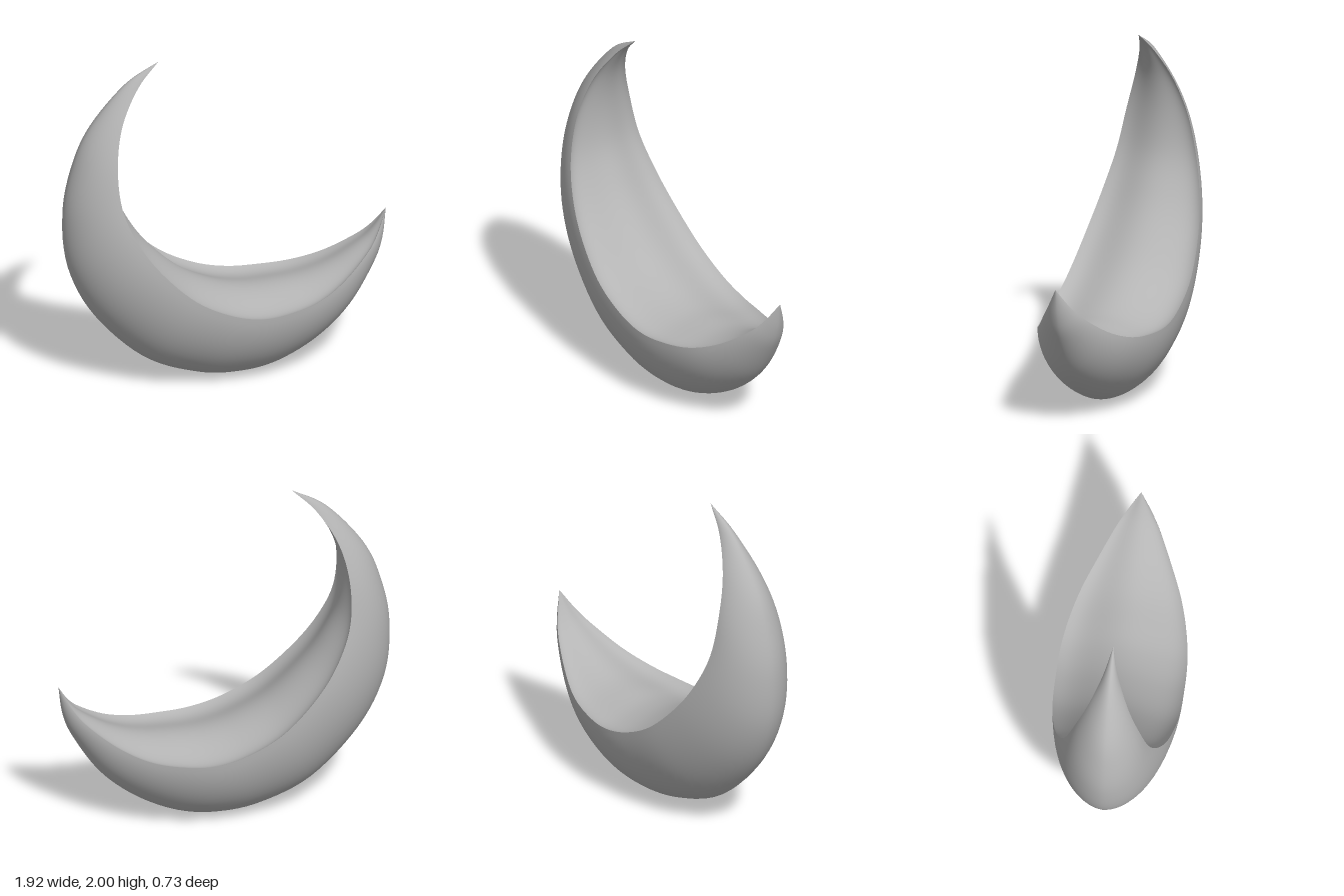
import * as THREE from 'three';

// stations from tall horn to short horn: keel x, keel y, rim x, rim y, half width
const STATIONS = [
  [-0.395, 2, -0.395, 2, 0],
  [-0.6, 1.875, -0.53, 1.87, 0.045],
  [-0.81, 1.62, -0.645, 1.68, 0.115],
  [-0.91, 1.38, -0.695, 1.46, 0.185],
  [-0.96, 1.1, -0.685, 1.22, 0.24],
  [-0.93, 0.77, -0.605, 1.01, 0.29],
  [-0.78, 0.46, -0.475, 0.82, 0.33],
  [-0.5, 0.17, -0.28, 0.63, 0.36],
  [-0.2, 0.035, -0.07, 0.515, 0.367],
  [0.05, 0.003, 0.12, 0.465, 0.362],
  [0.28, 0.035, 0.3, 0.465, 0.335],
  [0.52, 0.15, 0.48, 0.492, 0.285],
  [0.72, 0.32, 0.65, 0.562, 0.21],
  [0.87, 0.55, 0.81, 0.675, 0.125],
  [0.93, 0.7, 0.89, 0.765, 0.065],
  [0.955, 0.88, 0.955, 0.88, 0],
];
const keel = new THREE.CatmullRomCurve3(
  STATIONS.map(([x, y]) => new THREE.Vector3(x, y, 0)), false, 'catmullrom', 0.5);
const rim = new THREE.CatmullRomCurve3(
  STATIONS.map(([, , x, y, w]) => new THREE.Vector3(x, y, w)), false, 'catmullrom', 0.5);

const STEPS = 90, ARC = 32, ROUNDNESS = 1.8;

// sections run from the front rim to the back rim as
// [fraction of half width, fraction of depth towards the keel]
const section = (point) => Array.from({ length: ARC + 1 }, (_, j) => point((Math.PI * j) / ARC));

// slightly pointed half ellipse
const HULL = section((a) => {
  const c = Math.cos(a), power = 2 / ROUNDNESS;
  return [Math.sign(c) * Math.abs(c) ** power, Math.max(0, Math.sin(a)) ** power];
});

// shallow dip beside each rim, gentle swell along the middle
const INNER = section((a) => {
  const s = Math.cos(a), q = s * s;
  return [s, (1 - q) * (0.3 * q - 0.09)];
});

// sweep a section along the rim and keel
function sweep(points, facesOut) {
  const positions = [], index = [], n = points.length;
  for (let i = 0; i <= STEPS; i++) {
    const k = keel.getPoint(i / STEPS), r = rim.getPoint(i / STEPS);
    for (const [s, d] of points) {
      positions.push(r.x + (k.x - r.x) * d, r.y + (k.y - r.y) * d, r.z * s);
    }
  }
  for (let i = 0; i < STEPS; i++) {
    for (let j = 0; j < n - 1; j++) {
      const a = i * n + j, b = a + 1, c = a + n, e = c + 1;
      if (facesOut) index.push(a, b, c, b, e, c);
      else index.push(a, c, b, b, c, e);
    }
  }
  const geometry = new THREE.BufferGeometry();
  geometry.setAttribute('position', new THREE.Float32BufferAttribute(positions, 3));
  geometry.setIndex(index);
  geometry.computeVertexNormals();
  return geometry;
}

export function createModel() {
  const group = new THREE.Group();
  group.name = 'crescent';
  const grey = new THREE.MeshStandardMaterial({ color: 0xb4b4b4 });
  grey.name = 'grey';

  // rounded outside of the crescent
  const shell = new THREE.Mesh(sweep(HULL, true), grey);
  shell.name = 'outerShell';

  // inner face between the two rims
  const inner = new THREE.Mesh(sweep(INNER, false), grey);
  inner.name = 'innerFace';

  group.add(shell, inner);
  return group;
}
